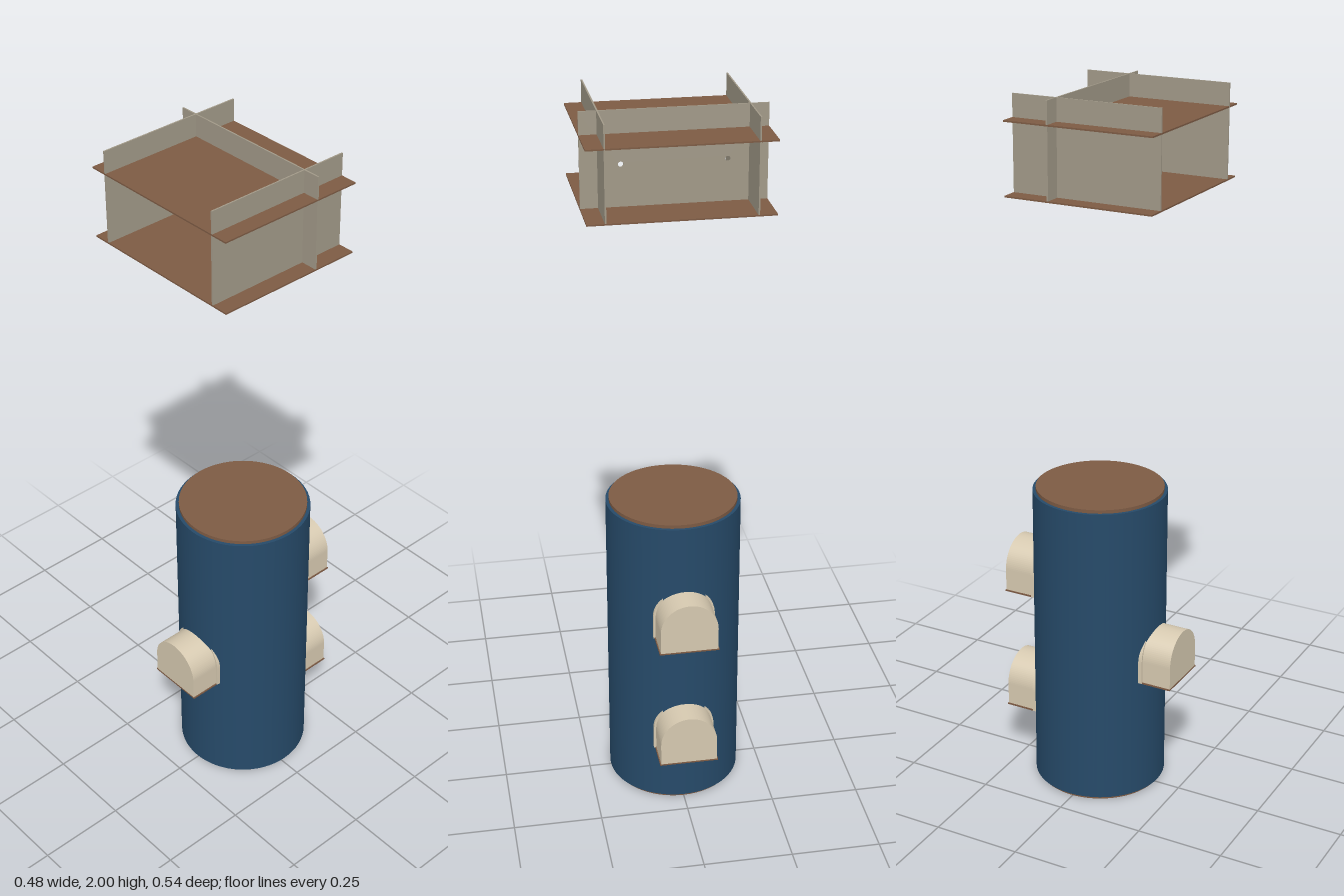
import * as THREE from 'three';

const mat = (name, color, side = THREE.FrontSide) => {
  const m = new THREE.MeshStandardMaterial({ color, side });
  m.name = name;
  return m;
};

export function createModel() {
  const root = new THREE.Group();
  const blue = mat('blue', 0x264a69);
  const brown = mat('brown', 0x7d5b44);
  const cream = mat('cream', 0xd6c9b0, THREE.DoubleSide);
  const stone = mat('stone', 0xa19988);

  const add = (parent, name, geo, material, x = 0, y = 0, z = 0) => {
    const mesh = new THREE.Mesh(geo, material);
    mesh.name = name;
    mesh.position.set(x, y, z);
    parent.add(mesh);
    return mesh;
  };
  const box = (w, h, d) => new THREE.BoxGeometry(w, h, d);

  // Round-topped outline standing on y = 0
  const arch = (Path, r, straight, base = 0) => {
    const p = new Path();
    p.moveTo(-r, base);
    p.lineTo(r, base);
    p.lineTo(r, straight);
    p.absarc(0, straight, r, 0, Math.PI, false);
    p.lineTo(-r, base);
    return p;
  };
  const extrude = (shape, depth) =>
    new THREE.ExtrudeGeometry(shape, { depth, bevelEnabled: false, curveSegments: 24 });

  // Drum with inset end discs
  const drum = new THREE.Group();
  drum.name = 'drum';
  drum.position.z = -0.007;
  root.add(drum);
  add(drum, 'drumBody', new THREE.CylinderGeometry(0.188, 0.188, 0.88, 64), blue, 0, 0.45);
  for (const [name, y] of [['bottomDisc', 0.005], ['topDisc', 0.895]])
    add(drum, name, new THREE.CylinderGeometry(0.179, 0.179, 0.01, 64), brown, 0, y);

  // Arched boxes projecting from the drum: one in front, two behind
  const makePort = (name, y, turn) => {
    const port = new THREE.Group();
    port.name = name;
    port.position.y = y;
    port.rotation.y = turn;
    drum.add(port);
    const shell = arch(THREE.Shape, 0.08, 0.068, 0.004);
    shell.holes.push(arch(THREE.Path, 0.076, 0.068, 0.006));
    add(port, 'portShell', extrude(shell, 0.103), cream, 0, 0, 0.155);
    add(port, 'portEnd', extrude(arch(THREE.Shape, 0.08, 0.068, 0.004), 0.005), cream, 0, 0, 0.258);
    add(port, 'portCollar', extrude(arch(THREE.Shape, 0.086, 0.066, 0.002), 0.013), cream, 0, 0, 0.165);
    add(port, 'portFloor', box(0.166, 0.004, 0.113), brown, 0, 0.002, 0.2075);
  };
  makePort('frontPort', 0.36, 0);
  makePort('upperBackPort', 0.547, Math.PI);
  makePort('lowerBackPort', 0.177, Math.PI);

  // Raised open crate made of interlocking sheets
  const crate = new THREE.Group();
  crate.name = 'crate';
  root.add(crate);
  const t = 0.004, zMid = 0.0585, depth = 0.417;
  add(crate, 'crateFloor', box(0.484, t, depth), brown, 0, 1.747, zMid);
  add(crate, 'crateShelf', box(0.484, t, depth), brown, 0, 1.938, zMid);
  for (const s of [-1, 1])
    add(crate, s > 0 ? 'leftWall' : 'rightWall', box(t, 0.251, depth), stone, s * 0.194, 1.8745, zMid);

  // Cross wall with two small round holes
  const wall = new THREE.Shape();
  wall.moveTo(-0.242, 1.749);
  wall.lineTo(0.242, 1.749);
  wall.lineTo(0.242, 2);
  wall.lineTo(-0.242, 2);
  wall.closePath();
  for (const s of [-1, 1]) {
    const hole = new THREE.Path();
    hole.absarc(s * 0.137, 1.86, 0.007, 0, Math.PI * 2, true);
    wall.holes.push(hole);
  }
  add(crate, 'crossWall', extrude(wall, t), stone, 0, 0, -0.027);

  // Small pegs with brown feet on the crate floor
  for (const s of [-1, 1]) {
    const peg = new THREE.Group();
    peg.name = s > 0 ? 'leftPeg' : 'rightPeg';
    peg.position.set(s * 0.168, 1.749, 0.015);
    crate.add(peg);
    add(peg, 'pegFoot', new THREE.CylinderGeometry(0.013, 0.013, 0.022, 20), brown, 0, 0.011);
    add(peg, 'pegStem', new THREE.CylinderGeometry(0.011, 0.011, 0.02, 20), cream, 0, 0.032);
    add(peg, 'pegCap', new THREE.SphereGeometry(0.011, 20, 8, 0, Math.PI * 2, 0, Math.PI / 2), cream, 0, 0.042);
  }

  return root;
}
